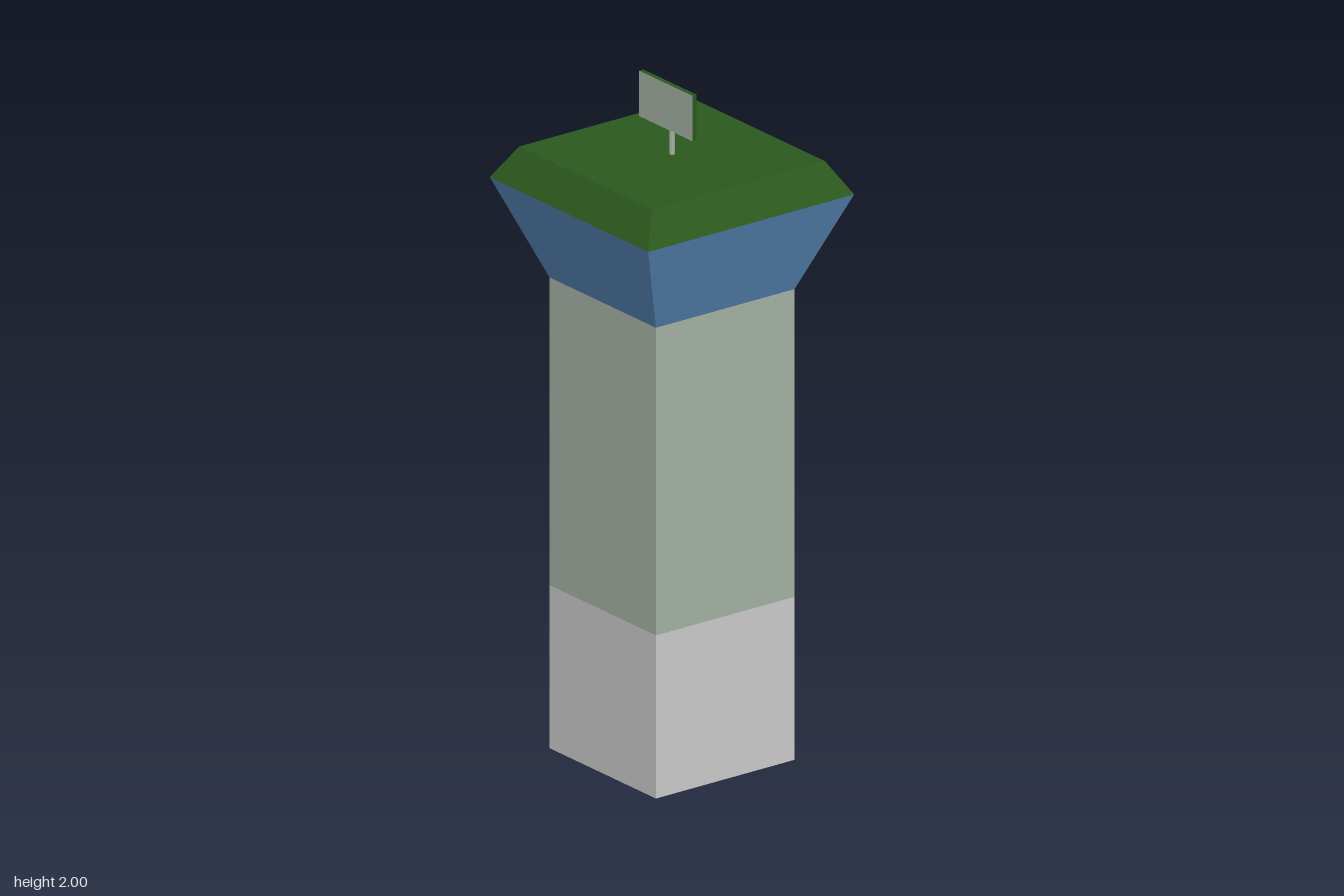
import * as THREE from 'three';

const material = (color) => new THREE.MeshStandardMaterial({ color, flatShading: true });

export function createModel() {
  const model = new THREE.Group();
  model.name = 'controlTower';
  const concrete = material(0xcccccc);
  const wall = material(0xa5b3a5);
  const glass = material(0x5c8fc2);
  const green = material(0x2c591e);

  const add = (name, geometry, mat) => {
    const mesh = new THREE.Mesh(geometry, mat);
    mesh.name = name;
    model.add(mesh);
    return mesh;
  };

  // Square open-ended section between two heights; bottom and top are half widths
  const section = (name, y0, y1, bottom, top, mat) => {
    let g = new THREE.CylinderGeometry(top * Math.SQRT2, bottom * Math.SQRT2, y1 - y0, 4, 1, true);
    g.rotateY(Math.PI / 4).translate(0, (y0 + y1) / 2, 0);
    g = g.toNonIndexed();
    g.computeVertexNormals();
    return add(name, g, mat);
  };

  // Horizontal square closing a section, facing up (1) or down (-1)
  const cap = (name, y, half, facing, mat) => {
    const g = new THREE.PlaneGeometry(half * 2, half * 2);
    g.rotateX(-facing * Math.PI / 2).translate(0, y, 0);
    return add(name, g, mat);
  };

  // Shaft
  cap('shaftFloor', 0, 0.242, -1, wall);
  section('shaftBase', 0, 0.485, 0.242, 0.242, concrete);
  section('shaft', 0.485, 1.4, 0.242, 0.242, wall);

  // Flared cabin windows and bevelled roof
  section('cabinWindows', 1.4, 1.69, 0.242, 0.36, glass);
  section('roofBevel', 1.69, 1.785, 0.36, 0.302, green);
  cap('roofTop', 1.785, 0.302, 1, green);

  // Mast with its radar panel, whose -x face is grey
  const mast = new THREE.CylinderGeometry(0.008, 0.008, 0.145, 12);
  add('mast', mast.translate(0, 1.8575, 0), new THREE.MeshStandardMaterial({ color: 0xa5b3a5 }));
  const panel = new THREE.BoxGeometry(0.015, 0.135, 0.242);
  add('radarPanel', panel.translate(-0.0145, 1.9325, 0), [green, wall, green, green, green, green]);

  return model;
}
